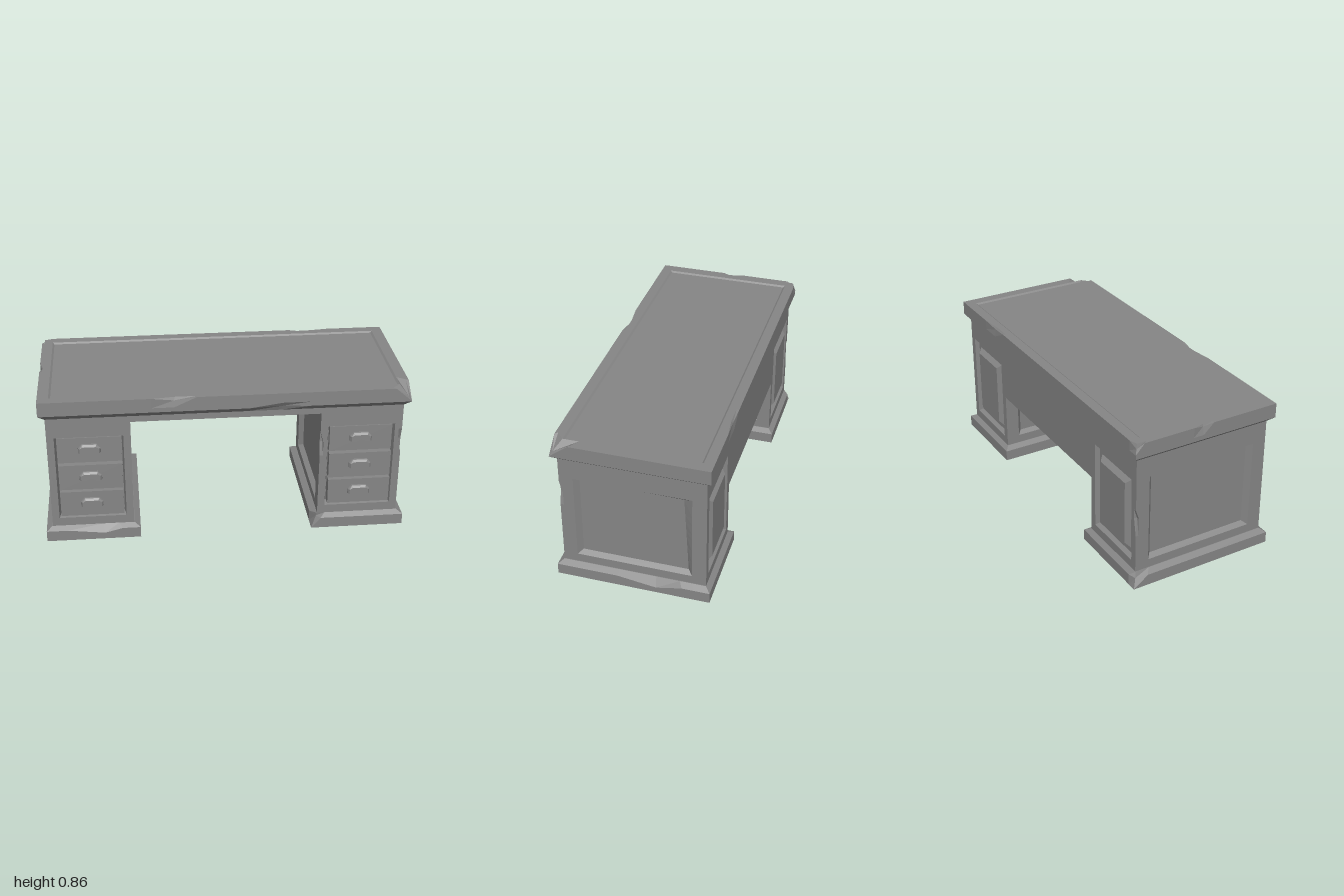
import * as THREE from 'three';
import { mergeGeometries } from 'three/addons/utils/BufferGeometryUtils.js';

const material = new THREE.MeshStandardMaterial({ color: 0x868686, flatShading: true });

// Rectangular loop at height y; fx and fz are extra points along the sides (fractions)
function rect(x0, x1, z0, z1, y, fx = [], fz = []) {
  const at = (tx, tz) => [x0 + (x1 - x0) * tx, y, z0 + (z1 - z0) * tz];
  const rx = [...fx].reverse(), rz = [...fz].reverse();
  return [
    ...[0, ...fx].map(t => at(t, 1)),
    ...[1, ...rz].map(t => at(1, t)),
    ...[1, ...rx].map(t => at(t, 0)),
    ...[0, ...fz].map(t => at(0, t)),
  ];
}

// Skin a stack of loops, closing the last one and optionally the first
function loft(rings, closeStart = true) {
  const p = [];
  const tri = (a, b, c) => p.push(...a, ...b, ...c);
  const n = rings[0].length;
  const middle = r => [0, 1, 2].map(k => r.reduce((s, v) => s + v[k], 0) / n);
  for (let i = 0; i < n; i++) {
    const j = (i + 1) % n;
    for (let k = 0; k + 1 < rings.length; k++) {
      const lo = rings[k], hi = rings[k + 1];
      tri(lo[i], lo[j], hi[j]);
      tri(lo[i], hi[j], hi[i]);
    }
    const first = rings[0], last = rings[rings.length - 1];
    tri(last[i], last[j], middle(last));
    if (closeStart) tri(first[j], first[i], middle(first));
  }
  const g = new THREE.BufferGeometry();
  g.setAttribute('position', new THREE.Float32BufferAttribute(p, 3));
  return g;
}

// Knock a corner out of place: moves the vertices nearest to a point
function chip(g, point, offset) {
  const pos = g.attributes.position, target = new THREE.Vector3(...point);
  const v = new THREE.Vector3(), best = new THREE.Vector3(Infinity, 0, 0);
  for (let i = 0; i < pos.count; i++) {
    v.fromBufferAttribute(pos, i);
    if (v.distanceTo(target) < best.distanceTo(target)) best.copy(v);
  }
  for (let i = 0; i < pos.count; i++) {
    v.fromBufferAttribute(pos, i);
    if (v.distanceTo(best) < 1e-4) pos.setXYZ(i, v.x + offset[0], v.y + offset[1], v.z + offset[2]);
  }
}

function add(parent, name, g, chips = []) {
  chips.forEach(([point, offset]) => chip(g, point, offset));
  g.computeVertexNormals();
  const m = new THREE.Mesh(g, material);
  m.name = name;
  parent.add(m);
}

// One upright pedestal face; each step is [half width, low y, high y, depth]
const faceRows = [0.22, 0.32, 0.44, 0.52, 0.67, 0.82];
function face(steps, out, angle) {
  const g = loft(steps.map(([w, lo, hi, d]) => rect(-w, w, -hi, -lo, d, [], faceRows)), false);
  return g.rotateX(Math.PI / 2).translate(0, 0, out).rotateY(angle);
}

function pedestalBody(x) {
  const frame = w => [[w, 0.08, 0.745, 0], [w - 0.018, 0.085, 0.74, 0]];
  const side = [...frame(0.392), [0.315, 0.13, 0.63, 0], [0.29, 0.148, 0.61, -0.028]];
  const front = [...frame(0.225), [0.185, 0.13, 0.63, 0], [0.176, 0.139, 0.621, -0.04]];
  const back = [...frame(0.225), [0.185, 0.13, 0.63, 0], [0.17, 0.145, 0.615, -0.022],
    [0.145, 0.175, 0.585, -0.022], [0.12, 0.2, 0.56, 0.003]];
  return mergeGeometries([
    face(front, 0.392, 0),
    face(back, 0.392, Math.PI),
    face(side, 0.225, Math.PI / 2),
    face(side, 0.225, -Math.PI / 2),
  ]).translate(x, 0, 0);
}

// Hooded cup pull, tapering forwards with a hollow at the bottom
function handleGeometry() {
  const outline = (w, top, hollow, z) => [[-w, -0.024], [-0.6 * w, -0.024], [-0.5 * w, hollow], [0.5 * w, hollow],
    [0.6 * w, -0.024], [w, -0.024], [w, 0.004], [0.66 * w, top], [-0.66 * w, top], [-w, 0.004]].map(q => [...q, z]);
  return loft([outline(0.062, 0.026, -0.01, -0.005), outline(0.06, 0.024, -0.01, 0.01), outline(0.052, 0.014, -0.01, 0.02)]);
}

export function createModel() {
  const desk = new THREE.Group();
  desk.name = 'desk';

  // Table top: chamfered underside, raised rim and inset writing surface
  const fx = [0.03, 0.3, 0.36, 0.42, 0.56, 0.65, 0.725, 0.78, 0.84, 0.955];
  const fz = [0.06, 0.4, 0.47, 0.54, 0.88];
  const layer = (x, z, y) => rect(-x, x, -z, z, y, fx, fz);
  add(desk, 'tableTop', loft([
    layer(0.965, 0.392, 0.745), layer(1, 0.42, 0.775), layer(1, 0.42, 0.8), layer(1, 0.42, 0.855),
    layer(0.985, 0.405, 0.855), layer(0.94, 0.365, 0.855), layer(0.93, 0.355, 0.847),
  ]), [
    [[1, 0.855, 0.42], [0, -0.078, 0]],
    [[1, 0.8, 0.42], [0, -0.024, 0]],
    [[0.985, 0.855, 0.405], [0, -0.054, 0]],
    [[-1, 0.855, -0.42], [0.008, -0.025, 0.008]],
    [[0.3, 0.775, 0.42], [0, 0, -0.015]],
    [[-0.28, 0.855, 0.42], [0, -0.018, -0.008]],
    [[0.56, 0.855, -0.42], [0, -0.012, 0.006]],
    [[-1, 0.855, 0], [0.01, -0.012, 0]],
  ]);

  // Apron under the top and the panel closing the back of the knee space
  add(desk, 'apron', new THREE.BoxGeometry(1.03, 0.036, 0.784).translate(0, 0.728, 0));
  const mx = [0.08, 0.24, 0.36];
  const strip = (z0, z1, y) => rect(-0.515, 0.515, z0, z1, y, mx);
  add(desk, 'modestyPanel', loft([
    strip(-0.385, -0.37, 0.41), strip(-0.392, -0.35, 0.41), strip(-0.392, -0.35, 0.46), strip(-0.392, -0.35, 0.72),
  ]), [[[-0.27, 0.41, -0.35], [0, 0.035, 0]]]);

  // Worn spots; the left pedestal also has one outer panel edge running askew
  const skew = [0, ...faceRows].map(t =>
    [[0.937, 0.61 - 0.462 * t, -0.29], [0, -0.006 * (1 - t), 0.024 * (1 - t)]]);
  const bodyChips = {
    1: [[[0.965, 0.535, 0.392], [-0.015, 0, -0.02]], [[0.515, 0.535, 0.392], [0.015, 0, -0.015]], ...skew],
    '-1': [[[-0.965, 0.4, -0.392], [0.015, 0, 0.015]]],
  };
  const plinthChips = {
    1: [[[1, 0.062, -0.13], [0, -0.03, 0]], [[0.48, 0.062, 0.42], [0.03, 0, -0.03]]],
    '-1': [[[-0.68, 0.062, 0.42], [0, -0.025, 0]], [[-1, 0.062, -0.42], [0.02, -0.01, 0.02]]],
  };

  for (const s of [1, -1]) {
    const pedestal = new THREE.Group();
    pedestal.name = s > 0 ? 'leftPedestal' : 'rightPedestal';
    desk.add(pedestal);
    const x = s * 0.74;
    add(pedestal, 'pedestalBody', pedestalBody(x), bodyChips[s]);

    // Plinth with a chamfered upper edge
    const px = [0.1, 0.23, 0.62, 0.81, 0.9], pz = [0.1, 0.18, 0.345, 0.6, 0.9];
    const step = (w, d, y) => rect(x - w, x + w, -d, d, y, px, pz);
    add(pedestal, 'plinth', loft([step(0.26, 0.42, 0), step(0.26, 0.42, 0.062), step(0.228, 0.392, 0.081)]),
      plinthChips[s]);

    // Drawers, each lower one pulled out a little further
    [[0.546, 0.382], [0.386, 0.397], [0.226, 0.406]].forEach(([y, z]) => {
      const drawer = new THREE.Group();
      drawer.name = 'drawer';
      drawer.position.set(x, y, z);
      pedestal.add(drawer);
      add(drawer, 'drawerFront', new THREE.BoxGeometry(0.345, 0.15, 0.06).translate(0, 0, -0.03));
      add(drawer, 'drawerHandle', handleGeometry().translate(0, 0.012, 0));
    });
  }
  return desk;
}
